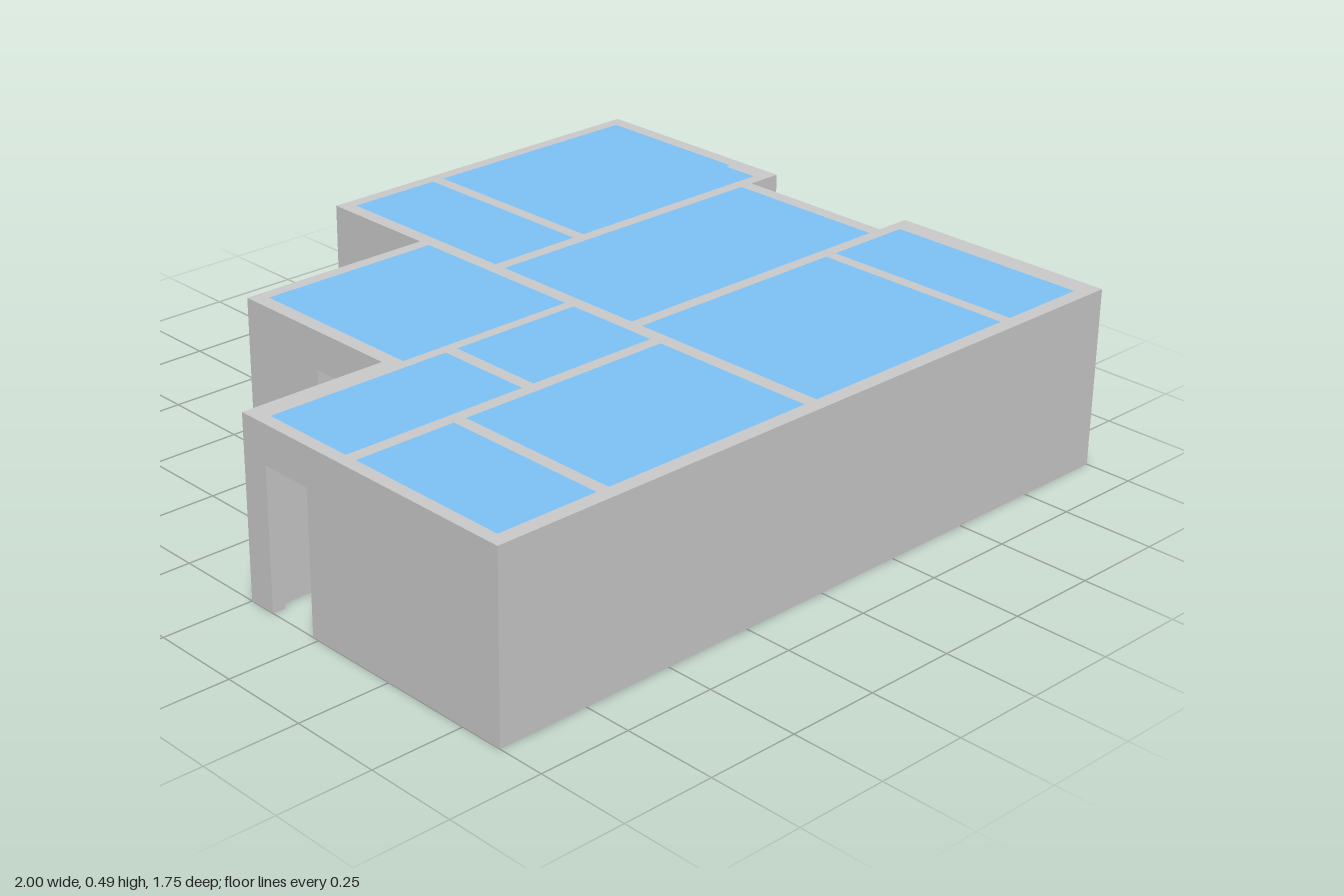
import * as THREE from 'three';

const H = 0.485; // wall height
const LINTEL = 0.38;

const wallMat = new THREE.MeshStandardMaterial({ color: 0xcccccc, flatShading: true });
const ceilingMat = new THREE.MeshStandardMaterial({ color: 0x7fc4f8, flatShading: true });

// Elevation of a wall from a to b. Openings are [from, to, bottom, top];
// those that start at the floor are cut from the outline, others are holes.
function elevation(a, b, openings) {
  const shape = new THREE.Shape();
  shape.moveTo(a, 0);
  for (const [p, q, y0, y1] of openings) {
    if (y0 > 0) {
      const hole = new THREE.Path();
      hole.moveTo(p, y0).lineTo(p, y1).lineTo(q, y1).lineTo(q, y0).closePath();
      shape.holes.push(hole);
    } else {
      shape.lineTo(p, 0).lineTo(p, y1).lineTo(q, y1).lineTo(q, 0);
    }
  }
  shape.lineTo(b, 0).lineTo(b, H).lineTo(a, H).closePath();
  return shape;
}

function wall(name, axis, [x0, x1, z0, z1], openings = []) {
  const alongX = axis === 'x';
  const shape = alongX ? elevation(x0, x1, openings) : elevation(z0, z1, openings);
  const depth = alongX ? z1 - z0 : x1 - x0;
  const geo = new THREE.ExtrudeGeometry(shape, { depth, bevelEnabled: false });
  if (alongX) geo.translate(0, 0, z0);
  else geo.rotateY(-Math.PI / 2).translate(x1, 0, 0);
  const mesh = new THREE.Mesh(geo, wallMat);
  mesh.name = name;
  return mesh;
}

function ceiling([x0, x1, z0, z1]) {
  const t = 0.01;
  const geo = new THREE.BoxGeometry(x1 - x0, t, z1 - z0);
  geo.translate((x0 + x1) / 2, H - t / 2, (z0 + z1) / 2);
  const mesh = new THREE.Mesh(geo, ceilingMat);
  mesh.name = 'ceilingPanel';
  return mesh;
}

export function createModel() {
  const model = new THREE.Group();
  model.name = 'house';

  // Outer walls
  const outer = new THREE.Group();
  outer.name = 'outerWalls';
  outer.add(
    wall('frontWall', 'x', [-1, 1, 0.83, 0.87]),
    wall('entranceWall', 'z', [0.94, 1, 0.225, 0.83], [[0.37, 0.73, 0.02, 0.385]]),
    wall('livingRoomWindowWall', 'z', [0.86, 0.9, -0.24, 0.225], [[-0.15, 0.15, 0.155, LINTEL]]),
    wall('bedroomWindowWall', 'z', [0.96, 1, -0.84, -0.24], [[-0.685, -0.38, 0.155, LINTEL]]),
    wall('wallPier', 'z', [0.945, 0.96, -0.38, -0.24]),
    wall('backWall', 'x', [-0.04, 1, -0.875, -0.84]),
    wall('sideRoomBackWall', 'x', [-0.595, -0.04, -0.525, -0.49]),
    wall('sideRoomWindowWall', 'z', [-0.595, -0.555, -0.49, 0.06], [[-0.25, 0.02, 0.155, LINTEL]]),
    wall('porchWall', 'x', [-1, -0.595, 0, 0.06], [[-0.83, -0.64, 0, LINTEL]]),
    wall('porchSideWall', 'z', [-1, -0.965, 0.06, 0.83], [[0.08, 0.23, 0, LINTEL]]),
  );

  // Partitions between the rooms
  const inner = new THREE.Group();
  inner.name = 'partitions';
  inner.add(
    wall('centreWall', 'z', [-0.04, 0, -0.84, 0.85],
      [[-0.125, 0.02, 0, 0.365], [0.1, 0.225, 0, 0.365], [0.43, 0.83, 0, LINTEL]]),
    wall('bedroomPartition', 'z', [0.27, 0.305, -0.85, -0.26], [[-0.7, -0.3, 0, LINTEL]]),
    wall('bedroomCorridorWall', 'x', [0, 0.96, -0.275, -0.24],
      [[0.03, 0.26, 0, LINTEL], [0.31, 0.56, 0, LINTEL]]),
    wall('livingRoomPartition', 'x', [0, 0.96, 0.225, 0.26], [[0.05, 0.63, 0, LINTEL]]),
    wall('entrancePartition', 'z', [0.655, 0.69, 0.24, 0.85], [[0.43, 0.83, 0, LINTEL]]),
    wall('sideRoomPartition', 'x', [-0.575, -0.02, 0.03, 0.06]),
    wall('porchPartition', 'z', [-0.45, -0.415, 0.045, 0.345], [[0.1, 0.165, 0.32, 0.365]]),
    wall('longPartition', 'x', [-0.98, -0.02, 0.33, 0.365],
      [[-0.9, -0.7, 0, LINTEL], [-0.62, -0.47, 0, LINTEL], [-0.4, -0.06, 0, LINTEL]]),
    wall('cornerRoomPartition', 'z', [-0.685, -0.65, 0.345, 0.85], [[0.45, 0.83, 0, LINTEL]]),
  );

  // Ceiling panel of each room, level with the wall tops
  const ceilings = new THREE.Group();
  ceilings.name = 'ceilings';
  const rooms = [
    [0, 0.27, -0.84, -0.275],
    [0.305, 0.96, -0.84, -0.38],
    [0.305, 0.945, -0.38, -0.275],
    [0, 0.86, -0.24, 0.225],
    [0, 0.655, 0.26, 0.83],
    [0.69, 0.94, 0.26, 0.83],
    [-0.555, -0.04, -0.49, 0.03],
    [-0.965, -0.45, 0.06, 0.33],
    [-0.415, -0.04, 0.06, 0.33],
    [-0.965, -0.685, 0.365, 0.83],
    [-0.65, -0.04, 0.365, 0.83],
  ];
  for (const room of rooms) ceilings.add(ceiling(room));

  model.add(outer, inner, ceilings);
  return model;
}
